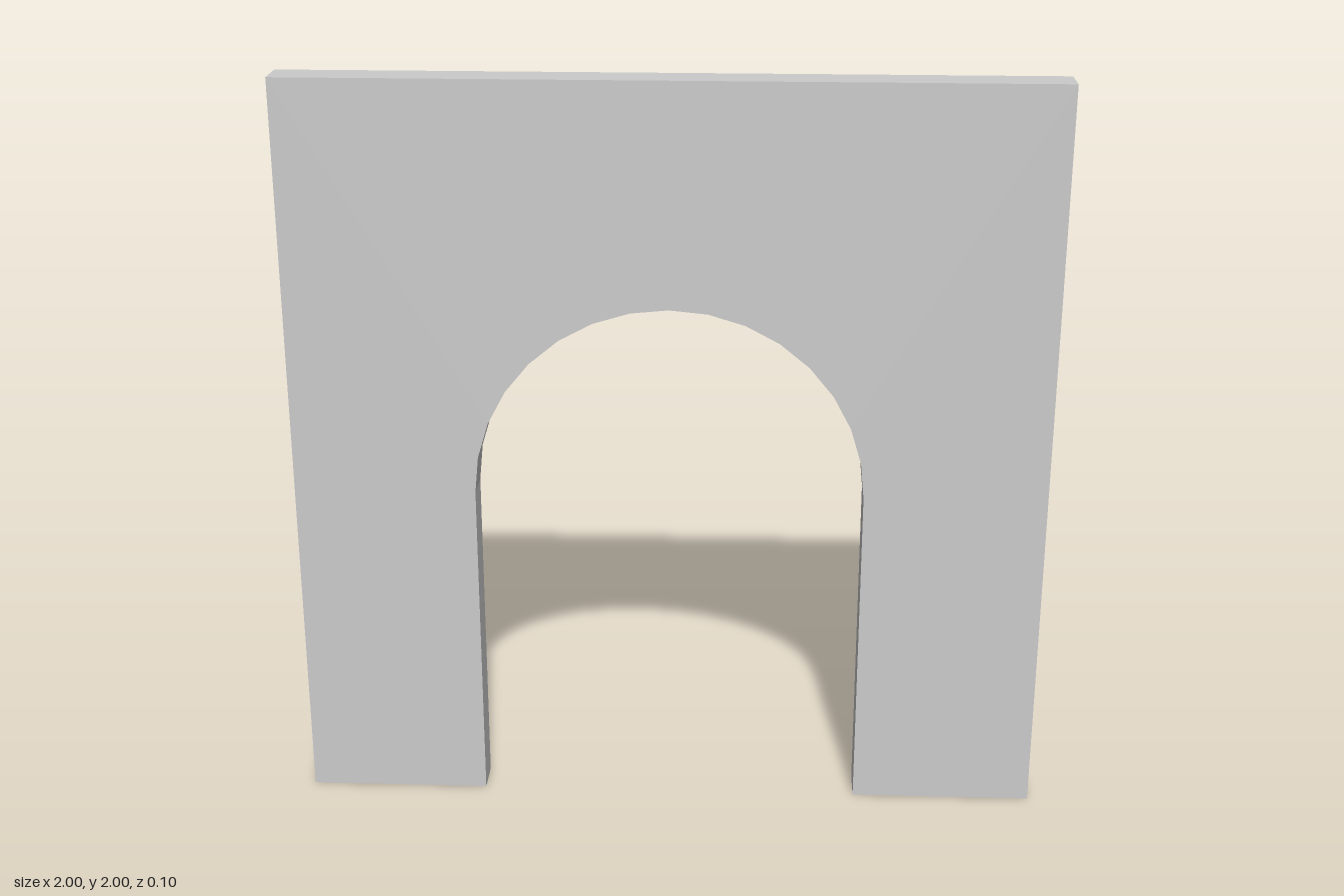
import * as THREE from 'three';

const HALF_WIDTH = 1, HEIGHT = 2, DEPTH = 0.1;
const ARCH_RADIUS = 0.515, SPRING_Y = 0.895;

export function createModel() {
  const group = new THREE.Group();
  group.name = 'archway';

  // Wall outline with a round-headed opening running down to the ground
  const outline = new THREE.Shape();
  outline.moveTo(-HALF_WIDTH, 0);
  outline.lineTo(-ARCH_RADIUS, 0);
  outline.lineTo(-ARCH_RADIUS, SPRING_Y);
  outline.absarc(0, SPRING_Y, ARCH_RADIUS, Math.PI, 0, true);
  outline.lineTo(ARCH_RADIUS, 0);
  outline.lineTo(HALF_WIDTH, 0);
  outline.lineTo(HALF_WIDTH, HEIGHT);
  outline.lineTo(-HALF_WIDTH, HEIGHT);
  outline.closePath();

  // 8 curve segments give the half-round head 16 flat facets
  const geometry = new THREE.ExtrudeGeometry(outline, {
    depth: DEPTH, bevelEnabled: false, curveSegments: 8,
  });
  geometry.translate(0, 0, -DEPTH / 2);

  const wall = new THREE.Mesh(
    geometry,
    new THREE.MeshStandardMaterial({ color: 0xcccccc, flatShading: true }),
  );
  wall.name = 'archedWall';
  group.add(wall);
  return group;
}
